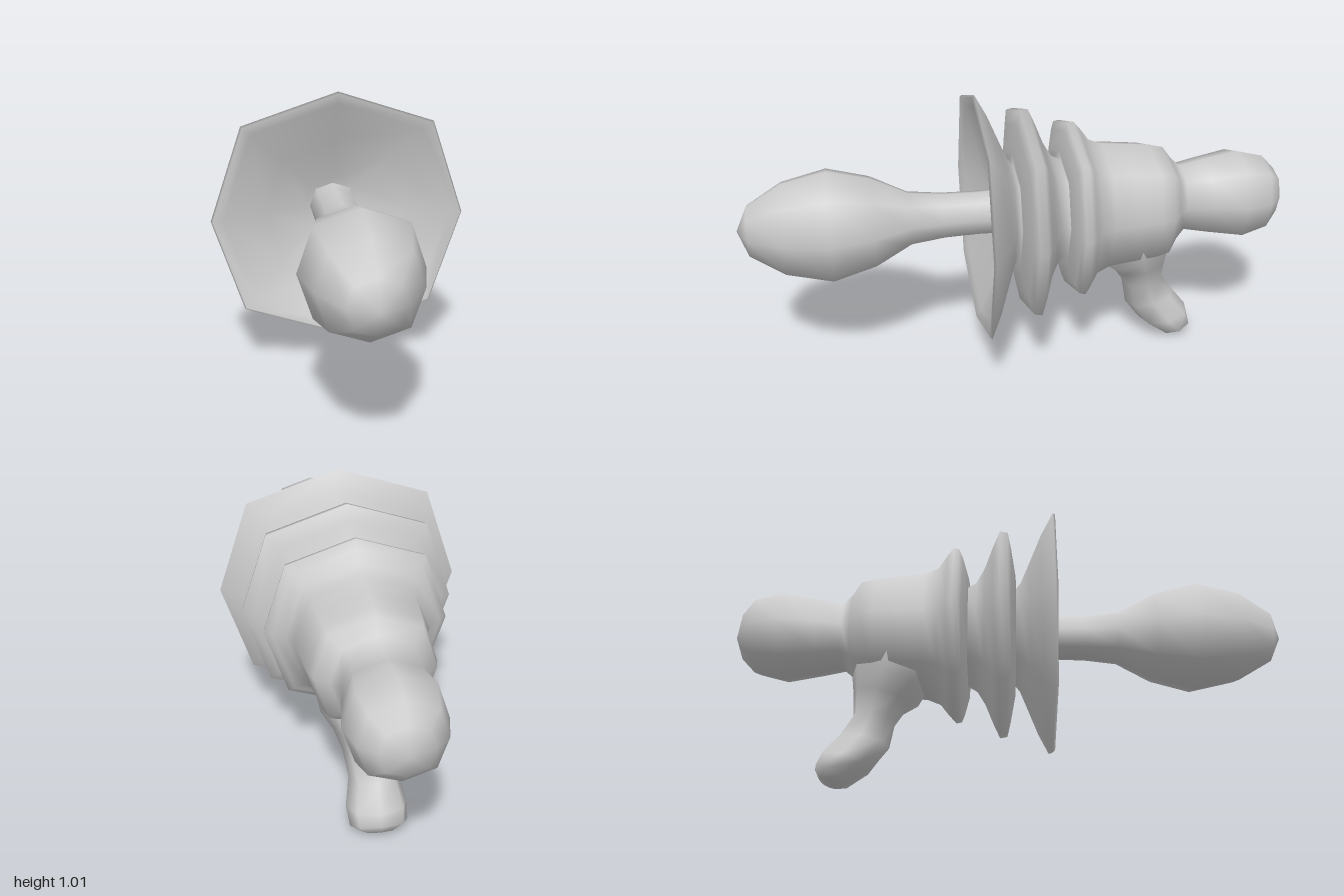
import * as THREE from 'three';
import { mergeVertices } from 'three/addons/utils/BufferGeometryUtils.js';

const SIDES = 8;
const AXIS_Y = 0.57;
const material = new THREE.MeshStandardMaterial({ color: 0xcccccc });

// Unit eight-sided outline, slightly fuller on the diagonals
function outline(j) {
  const a = (j % SIDES) * Math.PI * 2 / SIDES;
  const r = j % 2 ? 1.062 : 1;
  return [Math.cos(a) * r, Math.sin(a) * r];
}

// Skins a list of cross-sections with smooth normals
function loft(name, rings) {
  const positions = [], index = [];
  rings.forEach((ring, i) => {
    ring.forEach((p, j) => {
      positions.push(p.x, p.y, p.z);
      if (i === rings.length - 1) return;
      const k = (j + 1) % SIDES;
      const a = i * SIDES + j, b = i * SIDES + k;
      const c = a + SIDES, d = b + SIDES;
      index.push(a, c, b, b, c, d);
    });
  });
  let geometry = new THREE.BufferGeometry();
  geometry.setAttribute('position', new THREE.Float32BufferAttribute(positions, 3));
  geometry.setIndex(index);
  geometry = mergeVertices(geometry, 1e-5);
  geometry.computeVertexNormals();
  const mesh = new THREE.Mesh(geometry, material);
  mesh.name = name;
  return mesh;
}

// Turned part along z from [z, radius] pairs, listed front to back
function turned(name, profile) {
  return loft(name, profile.map(([z, r]) =>
    Array.from({ length: SIDES }, (_, j) => {
      const [u, v] = outline(j);
      return new THREE.Vector3(u * r, AXIS_Y + v * r, z);
    })));
}

// Tube from sections: [front z, front y, back z, back y, half width]
function limb(name, sections) {
  return loft(name, sections.map(([fz, fy, bz, by, w]) =>
    Array.from({ length: SIDES }, (_, j) => {
      const [u, v] = outline(j);
      return new THREE.Vector3(u * w,
        (fy + by) / 2 + v * (by - fy) / 2,
        (fz + bz) / 2 + v * (bz - fz) / 2);
    })));
}

export function createModel() {
  const group = new THREE.Group();
  group.name = 'model';

  // Front bulb on its thin stem
  group.add(turned('frontBulb', [
    [1, 0], [0.96, 0.09], [0.84, 0.163], [0.68, 0.2], [0.53, 0.161],
    [0.4, 0.095], [0.28, 0.081], [0.16, 0.078], [0.07, 0.08], [0.0, 0.085],
  ]));

  // Hollow front dish, two ribs, body and rear knob in one turned skin
  group.add(turned('body', [
    // dish
    [0.02, 0], [0.025, 0.1], [0.085, 0.25], [0.15, 0.4], [0.165, 0.436],
    [0.157, 0.443], [0.115, 0.365], [0.075, 0.27], [0.045, 0.2],
    // middle rib
    [0.02, 0.17], [0.027, 0.22], [0.01, 0.32], [-0.002, 0.375],
    [-0.03, 0.38], [-0.055, 0.325], [-0.085, 0.25], [-0.115, 0.2],
    // rear rib
    [-0.152, 0.18], [-0.143, 0.22], [-0.163, 0.29], [-0.175, 0.318],
    [-0.195, 0.322], [-0.218, 0.295], [-0.25, 0.252],
    // rounded body
    [-0.3, 0.232], [-0.4, 0.222], [-0.48, 0.214], [-0.53, 0.202],
    // neck and knob
    [-0.565, 0.155], [-0.6, 0.123], [-0.69, 0.141], [-0.82, 0.164],
    [-0.92, 0.138], [-0.97, 0.085], [-1, 0],
  ]));

  // Short leg sweeping down and back
  group.add(limb('leg', [
    [-0.28, 0.42, -0.56, 0.5, 0.18],
    [-0.3, 0.34, -0.565, 0.42, 0.165],
    [-0.36, 0.3, -0.555, 0.34, 0.125],
    [-0.4, 0.24, -0.55, 0.25, 0.098],
    [-0.418, 0.14, -0.6, 0.18, 0.084],
    [-0.475, 0.065, -0.66, 0.105, 0.104],
    [-0.555, 0.012, -0.672, 0.06, 0.098],
    [-0.595, 0.002, -0.655, 0.025, 0.055],
    [-0.625, 0.01, -0.625, 0.01, 0],
  ]));

  return group;
}
